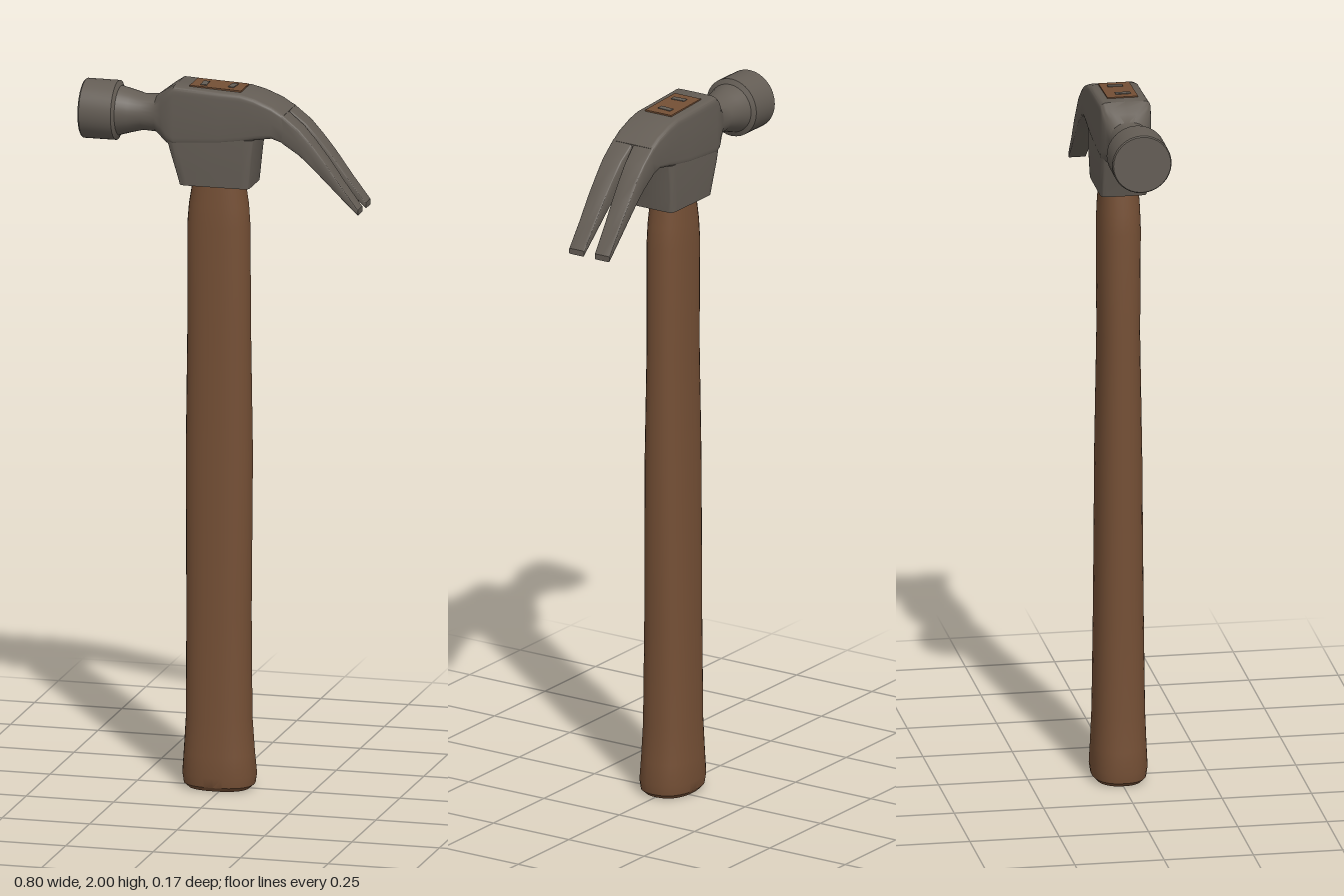
import * as THREE from 'three';
import { toCreasedNormals } from 'three/addons/utils/BufferGeometryUtils.js';

const SIDES = 32;

// Lofts rounded sections along 'x' or 'y'.
// Section: [position, uMin, uMax, vMin, vMax, exponent], where (u, v) is (y, z) along x and (z, x) along y.
// An exponent of 2 gives an ellipse, higher values a squarer outline.
function loft(axis, sections, crease = 0.6) {
  const pos = [], index = [];
  const put = (w, u, v) => (axis === 'x' ? pos.push(w, u, v) : pos.push(v, w, u));
  const bend = (c, e) => Math.sign(c) * Math.pow(Math.abs(c), 2 / e);
  for (const [w, u0, u1, v0, v1, e] of sections) {
    for (let j = 0; j < SIDES; j++) {
      const t = (j / SIDES) * Math.PI * 2;
      put(w, (u0 + u1) / 2 + ((u1 - u0) / 2) * bend(Math.cos(t), e),
        (v0 + v1) / 2 + ((v1 - v0) / 2) * bend(Math.sin(t), e));
    }
  }
  const last = sections.length - 1;
  for (const s of [sections[0], sections[last]]) put(s[0], (s[1] + s[2]) / 2, (s[3] + s[4]) / 2);
  const startCap = sections.length * SIDES;
  for (let j = 0; j < SIDES; j++) {
    const k = (j + 1) % SIDES;
    for (let i = 0; i < last; i++) {
      const a = i * SIDES, b = a + SIDES;
      index.push(a + j, a + k, b + k, a + j, b + k, b + j);
    }
    index.push(startCap, k, j, startCap + 1, last * SIDES + j, last * SIDES + k);
  }
  const geo = new THREE.BufferGeometry();
  geo.setAttribute('position', new THREE.Float32BufferAttribute(pos, 3));
  geo.setIndex(index);
  return toCreasedNormals(geo, crease);
}

export function createModel() {
  const steel = new THREE.MeshStandardMaterial({ color: 0x645d55 });
  steel.name = 'steel';
  const wood = new THREE.MeshStandardMaterial({ color: 0x744f35 });
  wood.name = 'wood';

  const model = new THREE.Group();
  model.name = 'clawHammer';
  const head = new THREE.Group();
  head.name = 'head';
  model.add(head);
  const add = (parent, name, geo, mat) => {
    const mesh = new THREE.Mesh(geo, mat);
    mesh.name = name;
    parent.add(mesh);
    return mesh;
  };

  // Handle: y, x range, half depth
  const handle = [
    [0, -0.1, 0.07, 0.064], [0.012, -0.114, 0.084, 0.075], [0.04, -0.118, 0.088, 0.079],
    [0.1, -0.114, 0.082, 0.076], [0.2, -0.108, 0.075, 0.072], [0.5, -0.107, 0.073, 0.068],
    [0.95, -0.109, 0.077, 0.064], [1.3, -0.105, 0.072, 0.058], [1.6, -0.105, 0.07, 0.06],
    [1.66, -0.1, 0.066, 0.058], [1.72, -0.09, 0.057, 0.054], [1.8, -0.08, 0.05, 0.05],
  ].map(([y, x0, x1, hz]) => [y, -hz, hz, x0, x1, 2.4]);
  add(model, 'handle', loft('y', handle), wood);

  // Striking face, neck and upper body: x, y range, half depth, squareness
  const body = [
    [-0.4, 1.825, 1.985, 0.08, 2], [-0.396, 1.822, 1.988, 0.083, 2], [-0.305, 1.822, 1.988, 0.083, 2],
    [-0.298, 1.836, 1.974, 0.07, 2], [-0.265, 1.846, 1.966, 0.062, 2], [-0.23, 1.855, 1.957, 0.053, 2],
    [-0.19, 1.854, 1.959, 0.054, 2.3], [-0.168, 1.84, 1.975, 0.062, 3.5], [-0.15, 1.832, 1.988, 0.069, 6],
    [-0.13, 1.83, 2, 0.071, 10], [0, 1.84, 1.993, 0.071, 10], [0.06, 1.85, 1.99, 0.071, 10],
    [0.1, 1.86, 1.98, 0.071, 10], [0.15, 1.868, 1.96, 0.07, 10], [0.185, 1.856, 1.938, 0.069, 10],
  ].map(([x, y0, y1, hz, e]) => [x, y0, y1, -hz, hz, e]);
  add(head, 'pollAndBody', loft('x', body), steel);

  // Socket around the top of the handle
  const socket = [
    [1.72, -0.115, 0.085, 0.065], [1.76, -0.126, 0.089, 0.067],
    [1.81, -0.141, 0.094, 0.069], [1.86, -0.155, 0.1, 0.069],
  ].map(([y, x0, x1, hz]) => [y, -hz, hz, x0, x1, 12]);
  add(head, 'socket', loft('y', socket), steel);

  // Curved claw prongs with a V-shaped gap: x, y range, inner and outer z
  const prong = [
    [0.18, 1.858, 1.941, 0, 0.069], [0.23, 1.826, 1.901, 0.005, 0.069], [0.265, 1.794, 1.862, 0.008, 0.068],
    [0.3, 1.761, 1.818, 0.011, 0.068], [0.35, 1.712, 1.748, 0.015, 0.067], [0.398, 1.668, 1.684, 0.018, 0.067],
  ];
  for (const side of [1, -1]) {
    const sections = prong.map(([x, y0, y1, zi, zo]) =>
      [x, y0, y1, Math.min(side * zi, side * zo), Math.max(side * zi, side * zo), 10]);
    add(head, side > 0 ? 'frontProng' : 'backProng', loft('x', sections), steel);
  }

  // Handle end showing in the top of the head, held by two steel wedges
  const eye = new THREE.Group();
  eye.name = 'handleEye';
  eye.position.set(-0.016, 1.9945, 0);
  eye.rotation.z = -0.045;
  model.add(eye);
  add(eye, 'handleEnd', new THREE.BoxGeometry(0.147, 0.006, 0.086), wood);
  for (const [x, z, turn] of [[-0.039, 0.006, 0.05], [0.039, -0.002, -0.08]]) {
    const wedge = add(eye, 'wedge', new THREE.BoxGeometry(0.017, 0.008, 0.042), steel);
    wedge.position.set(x, 0.001, z);
    wedge.rotation.y = turn;
  }
  return model;
}
